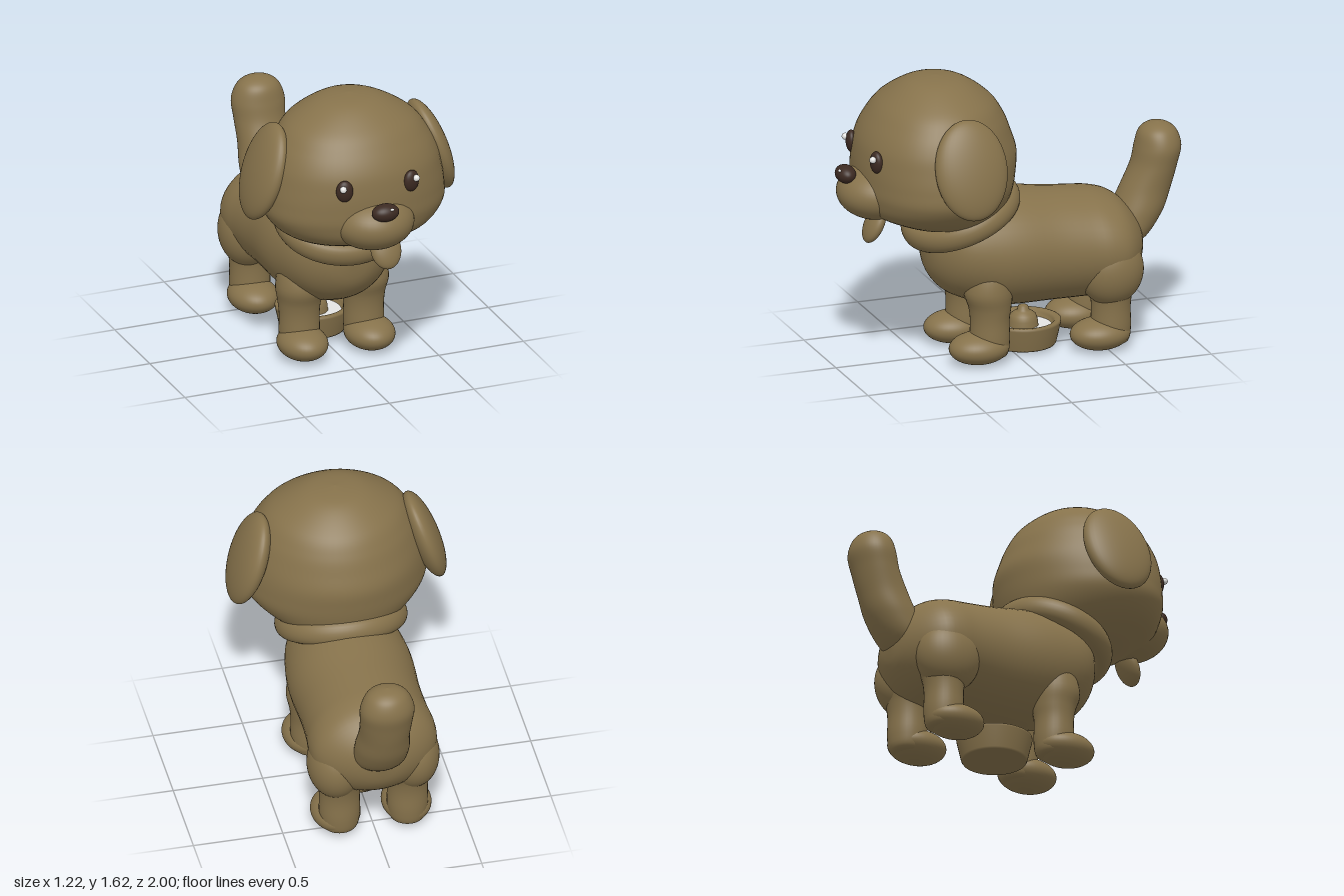
import * as THREE from 'three';

const mat = (name, color, side = THREE.FrontSide) => {
  const m = new THREE.MeshStandardMaterial({ color, side });
  m.name = name;
  return m;
};

// Closed smooth skin through elliptical sections [position, centre, halfWidth, halfDepth], listed high to low.
// It runs along z (centre is y), or along y when upright (centre is z).
function loft(sections, upright = false, rings = 48, sides = 48) {
  const sign = upright ? -1 : 1;
  const spine = new THREE.SplineCurve(sections.map(s => new THREE.Vector2(s[0], sign * s[1])));
  const size = new THREE.SplineCurve(sections.map(s => new THREE.Vector2(s[2], s[3])));
  const pos = [], index = [];
  for (let i = 0; i <= rings; i++) {
    const c = spine.getPoint(i / rings), r = size.getPoint(i / rings);
    for (let j = 0; j < sides; j++) {
      const a = j / sides * Math.PI * 2;
      pos.push(Math.max(r.x, 0.001) * Math.cos(a), c.y + Math.max(r.y, 0.001) * Math.sin(a), c.x);
      if (i === rings) continue;
      const k = (j + 1) % sides, p = i * sides, q = p + sides;
      index.push(p + j, q + j, p + k, q + j, q + k, p + k);
    }
  }
  const g = new THREE.BufferGeometry();
  g.setAttribute('position', new THREE.Float32BufferAttribute(pos, 3));
  g.setIndex(index);
  if (upright) g.rotateX(-Math.PI / 2);
  g.computeVertexNormals();
  return g;
}

export function createModel() {
  const model = new THREE.Group();
  model.name = 'puppy';
  const coat = mat('coatBrown', 0x86724b);
  const bowlMat = mat('bowlBrown', 0x86724b, THREE.DoubleSide);
  const dark = mat('darkBrown', 0x3c2a22);
  const white = mat('white', 0xe4e4e2);

  const add = (name, geo, material, x = 0, y = 0, z = 0) => {
    const m = new THREE.Mesh(geo, material);
    m.name = name;
    m.position.set(x, y, z);
    model.add(m);
    return m;
  };
  const blob = (name, material, x, y, z, rx, ry, rz) => {
    const m = add(name, new THREE.SphereGeometry(1, 40, 28), material, x, y, z);
    m.scale.set(rx, ry, rz);
    return m;
  };

  // Body, chest to rump
  add('body', loft([
    [0.49, 0.63, 0, 0], [0.47, 0.63, 0.13, 0.13], [0.40, 0.64, 0.24, 0.24],
    [0.30, 0.63, 0.305, 0.29], [0.15, 0.61, 0.34, 0.325], [0, 0.60, 0.35, 0.33],
    [-0.2, 0.585, 0.34, 0.315], [-0.38, 0.575, 0.345, 0.305], [-0.5, 0.57, 0.355, 0.295],
    [-0.6, 0.565, 0.335, 0.265], [-0.68, 0.56, 0.255, 0.20], [-0.74, 0.56, 0.13, 0.11],
    [-0.76, 0.56, 0, 0],
  ]), coat);

  // Tail, tip down to root
  add('tail', loft([
    [1.205, -0.873, 0, 0], [1.19, -0.873, 0.07, 0.06], [1.15, -0.873, 0.12, 0.105],
    [1.07, -0.873, 0.15, 0.127], [0.97, -0.85, 0.145, 0.128], [0.84, -0.80, 0.14, 0.142],
    [0.70, -0.74, 0.15, 0.148], [0.56, -0.66, 0.13, 0.12], [0.48, -0.62, 0, 0],
  ], true), coat);

  // Head: rounded skin, broader toward the cheeks
  const headGeo = loft([
    [1.625, 0.42, 0, 0], [1.60, 0.42, 0.17, 0.155], [1.50, 0.42, 0.345, 0.30],
    [1.40, 0.425, 0.425, 0.375], [1.30, 0.43, 0.47, 0.42], [1.20, 0.425, 0.495, 0.445],
    [1.10, 0.43, 0.51, 0.445], [1.0, 0.435, 0.505, 0.435], [0.90, 0.43, 0.43, 0.40],
    [0.82, 0.39, 0.31, 0.29], [0.77, 0.37, 0.16, 0.16], [0.755, 0.37, 0, 0],
  ], true, 64, 64);
  const p = headGeo.attributes.position;
  for (let i = 0; i < p.count; i++) p.setX(i, p.getX(i) * (1 + 0.22 * (p.getZ(i) - 0.42)));
  headGeo.computeVertexNormals();
  add('head', headGeo, coat);
  blob('muzzle', coat, 0, 1.0, 0.76, 0.23, 0.155, 0.225);

  // Nose and tongue
  blob('nose', dark, 0, 1.115, 0.945, 0.078, 0.05, 0.055);
  blob('noseGlint', white, 0.022, 1.143, 0.985, 0.013, 0.007, 0.008);
  blob('tongue', coat, 0.062, 0.83, 0.80, 0.088, 0.112, 0.045).rotation.x = -0.45;

  // Collar sloping from nape to chest
  const collar = add('collar', new THREE.TorusGeometry(0.31, 0.056, 24, 72), coat, 0, 0.82, 0.275);
  collar.rotation.x = -1.17;
  collar.scale.set(1, 0.93, 1.25);

  for (const s of [1, -1]) {
    const side = s > 0 ? 'left' : 'right';

    // Ear and eye
    blob(side + 'Ear', coat, s * 0.492, 1.225, 0.395, 0.083, 0.278, 0.207).rotation.z = s * 0.32;
    const eye = blob(side + 'Eye', dark, s * 0.197, 1.23, 0.838, 0.047, 0.062, 0.03);
    eye.rotation.y = s * 0.25;
    blob(side + 'EyeGlint', white, s * 0.216, 1.253, 0.866, 0.019, 0.019, 0.019);

    // Legs flare into the body; paws point forward
    for (const [name, z, flare] of [['Front', 0.175, 0.135], ['Hind', -0.53, 0.15]]) {
      add(side + name + 'Leg', loft([
        [0.60, z, 0, 0], [0.55, z, 0.10, 0.10], [0.42, z + 0.01, flare, flare],
        [0.32, z, 0.12, 0.118], [0.24, z, 0.112, 0.108], [0.12, z, 0.112, 0.11],
        [0.04, z, 0.09, 0.09], [0.03, z, 0, 0],
      ], true, 32, 32), coat, s * 0.19);
      blob(side + name + 'Paw', coat, s * 0.198, 0.092, z + 0.065, 0.137, 0.09, 0.17);
    }
    // Haunch
    blob(side + 'Haunch', coat, s * 0.215, 0.46, -0.52, 0.152, 0.20, 0.185);
  }

  // Bowl with a knob in the middle
  const lathe = (name, pts, material) => add(name,
    new THREE.LatheGeometry(pts.map(a => new THREE.Vector2(a[0], a[1])), 48), material, 0, 0, -0.09);
  lathe('bowl', [[0, 0.02], [0.175, 0.02], [0.182, 0.03], [0.208, 0.145], [0.208, 0.157],
    [0.20, 0.16], [0.175, 0.157], [0.165, 0.145], [0.15, 0.10], [0, 0.10]], bowlMat);
  lathe('bowlFilling', [[0.157, 0.122], [0, 0.122]], white).material.side = THREE.DoubleSide;
  lathe('bowlKnob', [[0.085, 0.11], [0.08, 0.155], [0.07, 0.185], [0.045, 0.203],
    [0.032, 0.21], [0.028, 0.23], [0.02, 0.236], [0, 0.238]], bowlMat);

  return model;
}
